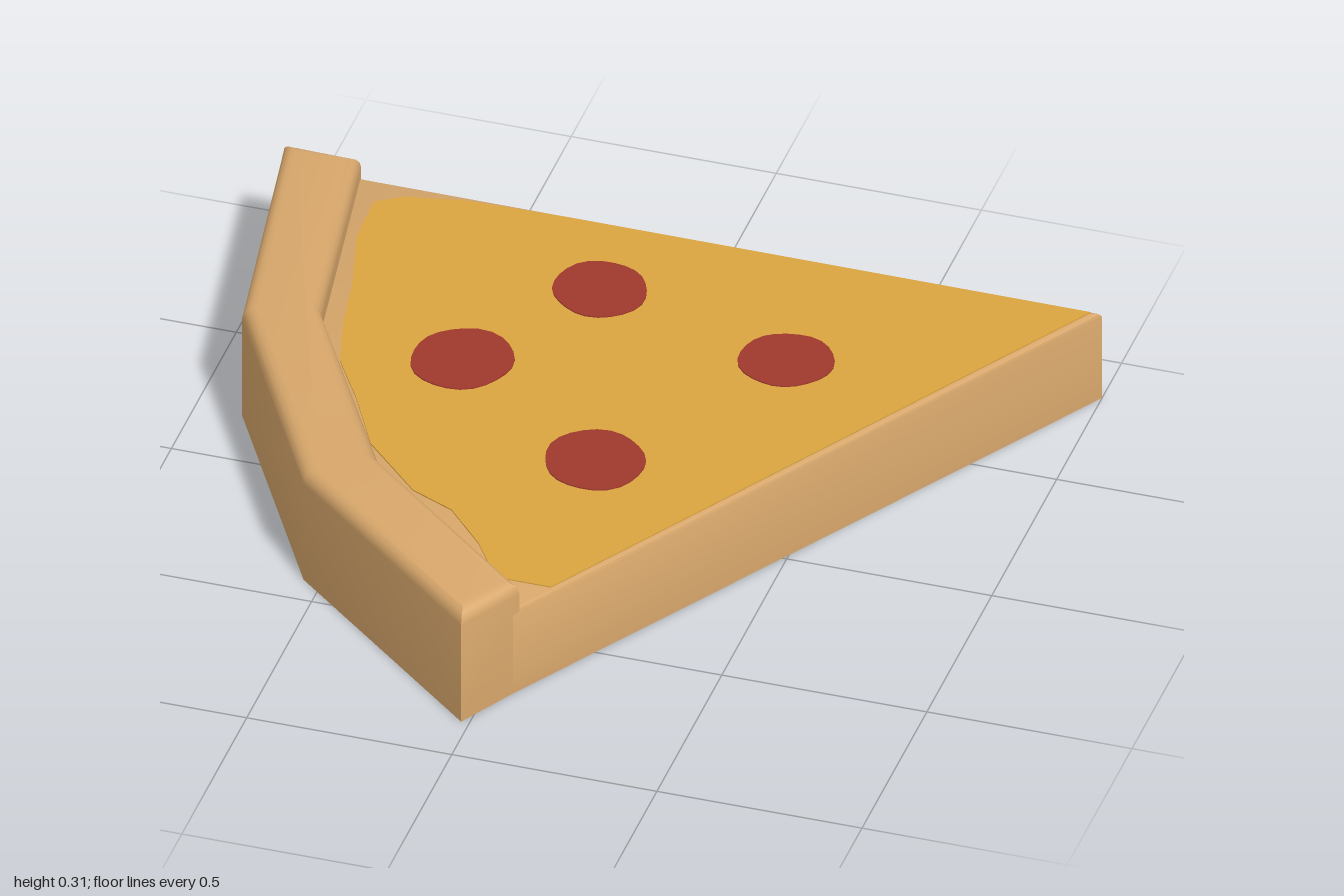
import * as THREE from 'three';
import { toCreasedNormals } from 'three/addons/utils/BufferGeometryUtils.js';

const material = (name, color) => {
  const m = new THREE.MeshStandardMaterial({ color });
  m.name = name;
  return m;
};

// Move every corner of a counter-clockwise outline inward by d
function inset(pts, d) {
  const n = pts.length;
  const normal = (a, b) => new THREE.Vector2(a.y - b.y, b.x - a.x).normalize();
  return pts.map((p, i) => {
    const n1 = normal(pts[(i + n - 1) % n], p);
    const n2 = normal(p, pts[(i + 1) % n]);
    return n1.clone().add(n2).multiplyScalar(d / (1 + n1.dot(n2))).add(p);
  });
}

// Solid over an [x, z] outline; levels are [inset, height] from bottom to top.
// The upper surface rises gently toward the back by slope.
function slab(outline, levels, slope = 0) {
  const pts = outline.map(([x, z]) => new THREE.Vector2(x, -z));
  if (THREE.ShapeUtils.area(pts) < 0) pts.reverse();
  const n = pts.length;
  const rings = levels.map(([d, y]) => inset(pts, d).map(
    p => [p.x, y + (y > 0.1 ? slope * p.y : 0), -p.y]));
  const pos = [];
  const tri = (a, b, c) => pos.push(...a, ...b, ...c);
  for (let k = 0; k < rings.length - 1; k++) {
    for (let i = 0; i < n; i++) {
      const j = (i + 1) % n, lo = rings[k], up = rings[k + 1];
      tri(lo[i], lo[j], up[j]);
      tri(lo[i], up[j], up[i]);
    }
  }
  const top = rings[rings.length - 1], bottom = rings[0];
  for (const [a, b, c] of THREE.ShapeUtils.triangulateShape(pts, [])) {
    tri(top[a], top[b], top[c]);
    tri(bottom[c], bottom[b], bottom[a]);
  }
  const g = new THREE.BufferGeometry();
  g.setAttribute('position', new THREE.Float32BufferAttribute(pos, 3));
  return toCreasedNormals(g, 0.6);
}

// Bottom, wall and a quarter-round top edge
function rounded(height, r, steps) {
  const levels = [[0, 0]];
  for (let i = 0; i <= steps; i++) {
    const a = (i / steps) * Math.PI / 2;
    levels.push([r * (1 - Math.cos(a)), height - r * (1 - Math.sin(a))]);
  }
  return levels;
}

export function createModel() {
  const group = new THREE.Group();
  const dough = material('baked dough', 0xd9a86c);
  const cheeseMat = material('golden cheese', 0xdba540);
  const sausage = material('red sausage', 0xa0382c);
  const add = (name, geometry, mat) => {
    const mesh = new THREE.Mesh(geometry, mat);
    mesh.name = name;
    group.add(mesh);
  };
  const SLOPE = 0.006, TOP = 0.236;

  // Raised crust along the wide end
  add('crust', slab([
    [-1, -0.865], [-0.885, -0.18], [-0.545, 0.42], [-0.02, 0.865],
    [0.07, 0.70], [-0.4, 0.3], [-0.71, -0.24], [-0.81, -0.86],
  ], rounded(0.305, 0.035, 4)), dough);

  // Wedge-shaped base, tucked under the crust
  add('base', slab([
    [1, -0.85], [-0.88, -0.86], [-0.77, -0.22], [-0.45, 0.35], [0.035, 0.76],
  ], rounded(TOP, 0.012, 2), SLOPE), dough);

  // Cheese layer with an uneven edge beside the crust
  add('cheese', slab([
    [0.975, -0.84], [0.115, 0.6], [-0.02, 0.6], [-0.1, 0.48], [-0.2, 0.37],
    [-0.31, 0.32], [-0.38, 0.25], [-0.46, 0.17], [-0.55, 0.0], [-0.63, -0.13],
    [-0.67, -0.28], [-0.7, -0.45], [-0.745, -0.62], [-0.75, -0.77],
    [-0.69, -0.81], [-0.55, -0.838], [-0.3, -0.845],
  ], [[0, TOP - 0.003], [0, TOP + 0.003]], SLOPE), cheeseMat);

  // Slightly irregular sausage slices
  [[-0.14, -0.585, 0.112], [0.36, -0.44, 0.11], [-0.36, -0.22, 0.122], [0.058, 0.08, 0.12]]
    .forEach(([x, z, r], k) => {
      const ring = [];
      for (let i = 0; i < 24; i++) {
        const a = (i / 24) * Math.PI * 2;
        const s = r * (1 + 0.03 * Math.sin(2 * a + k * 2) + 0.015 * Math.sin(5 * a + k));
        ring.push([x + s * Math.cos(a), z + s * Math.sin(a)]);
      }
      add('sausageSlice' + (k + 1),
        slab(ring, [[0, TOP], [0, TOP + 0.006]], SLOPE), sausage);
    });

  return group;
}
